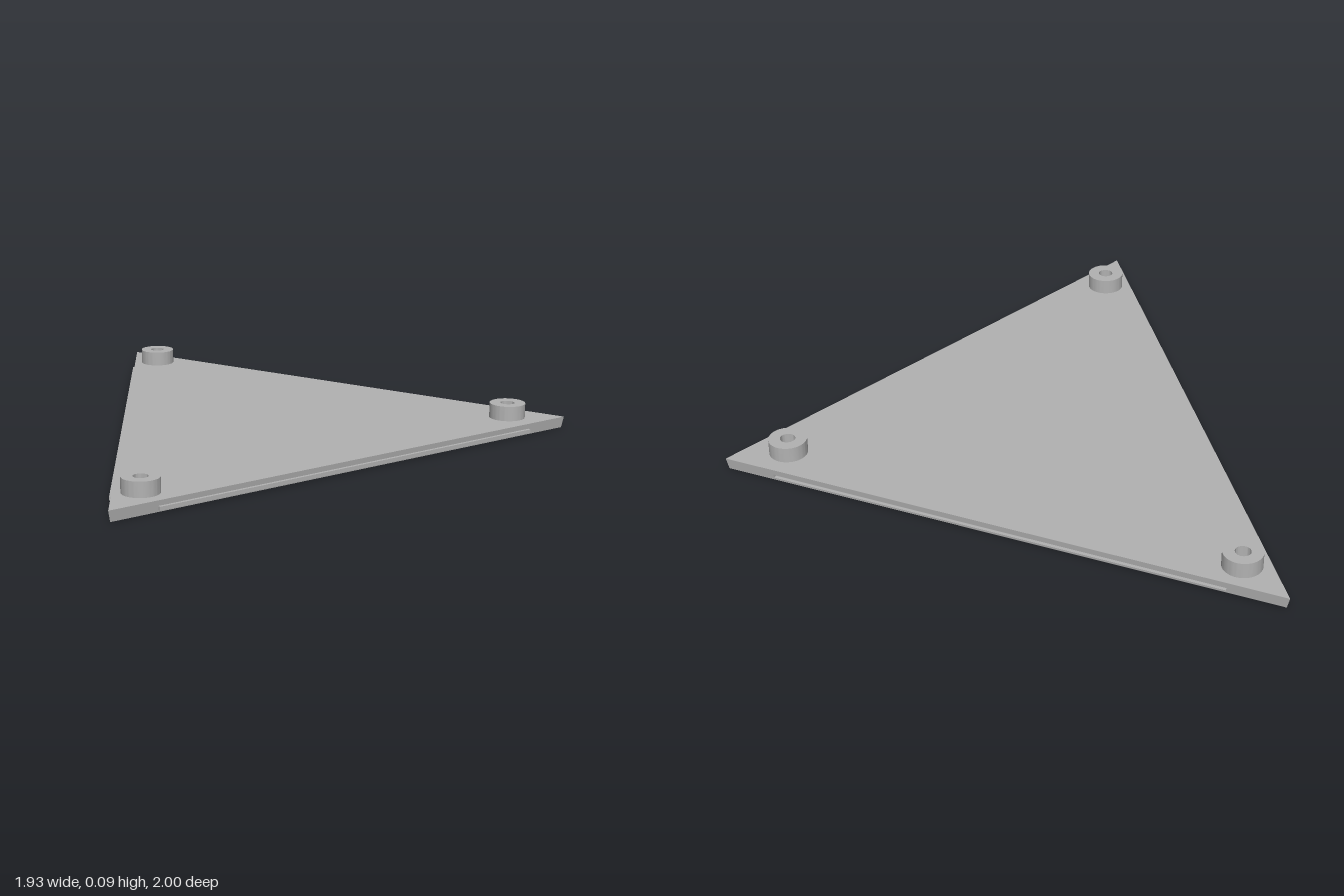
import * as THREE from 'three';
import { toCreasedNormals } from 'three/addons/utils/BufferGeometryUtils.js';

// Plate corners as [x, z]
const A = [-0.97, -1.0], B = [0.965, -0.7], C = [-0.01, 1.0];
const PLATE_TOP = 0.04, TAB_LOW = 0.008, TAB_HIGH = 0.021, TAPER = 0.005;

const lerp = (p, q, t) => [p[0] + (q[0] - p[0]) * t, p[1] + (q[1] - p[1]) * t];
const dist = (p, q) => Math.hypot(p[0] - q[0], p[1] - q[1]);

// Incentre and inradius, so that scaling about it insets all edges equally
const a = dist(B, C), b = dist(C, A), c = dist(A, B), sum = a + b + c;
const centre = [0, 1].map(i => (a * A[i] + b * B[i] + c * C[i]) / sum);
const s = sum / 2;
const inradius = Math.sqrt((s - a) * (s - b) * (s - c) / s);

// Point along edge p-q, moved outwards by d
function edgePoint(p, q, t, d) {
  const m = lerp(p, q, t), len = dist(p, q);
  let n = [(q[1] - p[1]) / len, -(q[0] - p[0]) / len];
  if (n[0] * (m[0] - centre[0]) + n[1] * (m[1] - centre[1]) < 0) n = [-n[0], -n[1]];
  return [m[0] + n[0] * d, m[1] + n[1] * d];
}

// Upright slab over an outline of [x, z] points
function slab(points, y0, y1) {
  const shape = new THREE.Shape(points.map(([x, z]) => new THREE.Vector2(x, -z)));
  return new THREE.ExtrudeGeometry(shape, { depth: y1 - y0, bevelEnabled: false })
    .rotateX(-Math.PI / 2).translate(0, y0, 0);
}

// Lean the sides inwards towards the underside
function taper(geometry) {
  const pos = geometry.attributes.position;
  for (let i = 0; i < pos.count; i++) {
    const k = 1 - TAPER * (1 - pos.getY(i) / PLATE_TOP) / inradius;
    pos.setX(i, centre[0] + (pos.getX(i) - centre[0]) * k);
    pos.setZ(i, centre[1] + (pos.getZ(i) - centre[1]) * k);
  }
  geometry.computeVertexNormals();
  return geometry;
}

export function createModel() {
  const model = new THREE.Group();
  const grey = new THREE.MeshStandardMaterial({ color: 0xb2b2b2 });
  grey.name = 'grey';
  const add = (name, geometry) => {
    const mesh = new THREE.Mesh(geometry, grey);
    mesh.name = name;
    model.add(mesh);
    return mesh;
  };

  // Triangular plate in three layers, the middle one notched for the rear groove
  const grooved = [A, edgePoint(A, B, 0.1, 0), edgePoint(A, B, 0.1, -0.012),
    edgePoint(A, B, 0.91, -0.012), edgePoint(A, B, 0.91, 0), B, C];
  add('plateBottom', taper(slab([A, B, C], 0, TAB_LOW)));
  add('plateMiddle', taper(slab(grooved, TAB_LOW, TAB_HIGH)));
  add('plateTop', taper(slab([A, B, C], TAB_HIGH, PLATE_TOP)));

  // Thin tongues along the two front edges
  for (const [name, p, q] of [['rightTongue', A, C], ['leftTongue', B, C]]) {
    add(name, slab([edgePoint(p, q, 0.09, -0.02), edgePoint(p, q, 0.09, 0.009),
      edgePoint(p, q, 0.906, 0.009), edgePoint(p, q, 0.906, -0.02)], TAB_LOW, TAB_HIGH));
  }

  // Round hollow studs near the corners
  const ring = new THREE.Shape().absarc(0, 0, 0.065, 0, Math.PI * 2);
  ring.holes.push(new THREE.Path().absarc(0, 0, 0.026, 0, Math.PI * 2, true));
  const stud = toCreasedNormals(new THREE.ExtrudeGeometry(ring,
    { depth: 0.054, bevelEnabled: false, curveSegments: 32 }).rotateX(-Math.PI / 2), 0.6);
  for (const [name, x, z] of [['rearRightStud', -0.805, -0.87],
    ['rearLeftStud', 0.775, -0.61], ['frontStud', -0.01, 0.785]]) {
    add(name, stud).position.set(x, PLATE_TOP, z);
  }
  return model;
}
